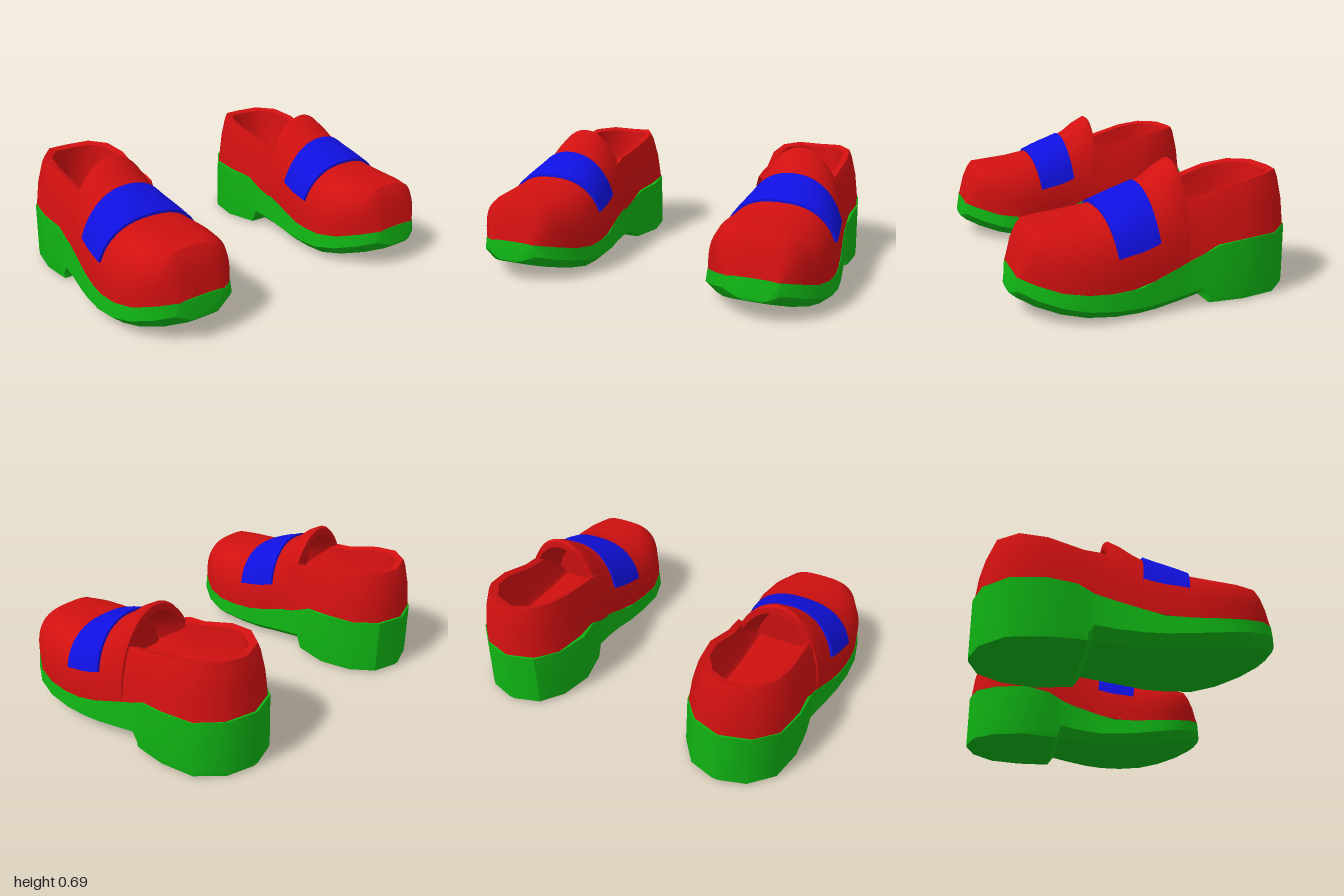
import * as THREE from 'three';
import { toCreasedNormals } from 'three/addons/utils/BufferGeometryUtils.js';

const lerp = THREE.MathUtils.lerp;
const clamp = THREE.MathUtils.clamp;

// Linear interpolation in a table whose first column is a falling z
function at(table, z) {
  const k = clamp(table.findIndex((r) => r[0] <= z), 1, table.length - 1);
  const a = table[k - 1], b = table[k];
  const t = clamp((z - a[0]) / (b[0] - a[0]), 0, 1);
  return a.map((v, i) => lerp(v, b[i], t));
}

// Sole outline: z, inner x, outer x, underside y, welt y
const SOLE = [
  [0.745, 0.61, 0.77, 0.115, 0.13], [0.72, 0.53, 0.83, 0.1, 0.215],
  [0.65, 0.45, 0.91, 0.075, 0.195], [0.54, 0.375, 0.975, 0.045, 0.165],
  [0.42, 0.345, 1.0, 0.02, 0.148], [0.28, 0.36, 1.0, 0.005, 0.14],
  [0.15, 0.38, 0.985, 0, 0.148], [0.05, 0.4, 0.97, 0.005, 0.18],
  [-0.08, 0.405, 0.95, 0.022, 0.225], [-0.18, 0.395, 0.94, 0.04, 0.26],
  [-0.21, 0.39, 0.94, 0.01, 0.275], [-0.26, 0.38, 0.945, 0.01, 0.3],
  [-0.4, 0.35, 0.95, 0.01, 0.318], [-0.58, 0.39, 0.915, 0.01, 0.322],
  [-0.7, 0.48, 0.8, 0.01, 0.325], [-0.745, 0.62, 0.66, 0.01, 0.325],
];

// Top line of the vamp and tongue: z, y
const VAMP = [
  [0.722, 0.22], [0.69, 0.35], [0.66, 0.41], [0.635, 0.44], [0.54, 0.447],
  [0.42, 0.46], [0.3, 0.483], [0.2, 0.53], [0.09, 0.572], [0.03, 0.61],
  [-0.03, 0.66], [-0.09, 0.695], [-0.105, 0.685],
];

// Heel quarters from outer side round the back: base x, z and rim x, z
const HEEL = [
  [0.94, -0.07, 0.865, -0.075], [0.932, -0.13, 0.86, -0.13], [0.928, -0.22, 0.86, -0.22],
  [0.938, -0.4, 0.87, -0.4], [0.905, -0.58, 0.85, -0.54], [0.8, -0.69, 0.77, -0.645],
  [0.64, -0.738, 0.64, -0.68], [0.49, -0.69, 0.52, -0.645], [0.4, -0.58, 0.45, -0.54],
  [0.375, -0.4, 0.43, -0.4], [0.4, -0.22, 0.45, -0.22], [0.405, -0.13, 0.45, -0.13],
  [0.41, -0.07, 0.445, -0.075],
];

// Height of the collar rim: z, y
const RIM = [[-0.07, 0.51], [-0.12, 0.532], [-0.2, 0.537], [-0.35, 0.58], [-0.5, 0.612], [-0.65, 0.615], [-0.68, 0.606]];

// Surface through rows of points; side -1 mirrors it in x
function loft(rows, side, closed, crease = 0.75) {
  const n = rows[0].length, pos = [], idx = [];
  rows.forEach((row) => row.forEach(([x, y, z]) => pos.push(x * side, y, z)));
  for (let r = 0; r < rows.length - 1; r++) {
    for (let c = 0; c < (closed ? n : n - 1); c++) {
      const d = (c + 1) % n;
      const a = r * n + c, b = r * n + d, e = a + n, f = b + n;
      if (side > 0) idx.push(a, b, e, b, f, e);
      else idx.push(a, e, b, b, e, f);
    }
  }
  const g = new THREE.BufferGeometry();
  g.setAttribute('position', new THREE.Float32BufferAttribute(pos, 3));
  g.setIndex(idx);
  return toCreasedNormals(g, crease);
}

// Point on the arched upper at z and angle a, pushed out by e
function archPoint(z, a, e = 0) {
  const [, xa, xb, , ys] = at(SOLE, z);
  const top = at(VAMP, z)[1] + e;
  const p = 1 - 0.46 * (z + 0.1);
  const c = Math.cos(a), s = Math.max(0, Math.sin(a));
  const w = (xb - xa) / 2 - 0.012 + e;
  return [(xa + xb) / 2 - w * Math.sign(c) * Math.abs(c) ** p, ys + (top - ys) * s ** p, z];
}

function soleGeometry(side) {
  const rows = SOLE.map(([z, xa, xb, yb, ys]) => {
    const heel = z < -0.2;
    const inset = Math.min(heel ? 0.003 : 0.06, (xb - xa) * 0.2);
    const ym = Math.min(yb + (heel ? 0.03 : 0.05), ys - 0.005);
    const lip = heel ? 0.004 : 0.01;
    return [[xa + inset, yb, z], [xa, ym, z], [xa + lip, ys, z],
      [xb - lip, ys, z], [xb, ym, z], [xb - inset, yb, z]];
  });
  // End caps
  const cap = (row) => row.map(() => [0, 1, 2].map((k) => row.reduce((s, p) => s + p[k], 0) / row.length));
  return loft([cap(rows[0]), ...rows, cap(rows[rows.length - 1])], side, true, 0.6);
}

function vampGeometry(side) {
  const angles = Array.from({ length: 25 }, (_, i) => (Math.PI * i) / 24);
  const rows = VAMP.map(([z]) => angles.map((a) => archPoint(z, a)));
  // Tongue lip, turned inward to line the throat
  const last = rows[rows.length - 1];
  const inner = (k, z) => last.map(([x, y]) => [0.67 + (x - 0.67) * k, 0.23 + (y - 0.23) * k, z]);
  rows.push(inner(0.92, -0.108), inner(0.86, -0.07), inner(0.7, 0.08), inner(0.05, 0.1));
  return loft(rows, side, false);
}

function quarterGeometry(side) {
  const floorY = 0.33;
  const wall = (t, h) => HEEL.map(([bx, bz, rx, rz]) => {
    const base = at(SOLE, bz)[4] - 0.005;
    return [lerp(bx, rx, t), lerp(base, at(RIM, rz)[1], h), lerp(bz, rz, t)];
  });
  // Lining, moved towards the middle of the opening
  const lining = (k, y) => HEEL.map(([, , rx, rz]) => [
    0.65 + (rx - 0.65) * k, y ?? at(RIM, rz)[1] - 0.012,
    rz > -0.1 ? rz + (y ? 0.15 : 0) : -0.33 + (rz + 0.33) * (rz < -0.33 ? k + 0.04 : 1),
  ]);
  const middle = HEEL.map(([, , , rz]) => [0.65, floorY, rz > -0.1 ? rz + 0.15 : Math.max(rz, -0.5)]);
  return loft([wall(0, 0), wall(0.3, 0.5), wall(0.75, 0.88), wall(1, 1),
    lining(0.84), lining(0.74, floorY + 0.03), lining(0.64, floorY), middle], side, false);
}

function strapGeometry(side) {
  // Rows from front edge to back edge: z and thickness
  const edges = [[0.3, -0.01], [0.298, 0.013], [0.24, 0.014], [0.19, 0.014], [0.14, 0.014], [0.084, 0.014], [0.08, -0.01]];
  const n = 24, low = 0.38;
  const rows = edges.map(([z, e]) => Array.from({ length: n + 1 }, (_, i) => {
    const a = low + ((Math.PI - 2 * low) * i) / n;
    return archPoint(z - 0.045 * (1 - Math.sin(a)), a, e);
  }));
  return loft(rows, side, false, 0.6);
}

export function createModel() {
  const red = new THREE.MeshStandardMaterial({ color: 0xd01010, side: THREE.DoubleSide });
  const green = new THREE.MeshStandardMaterial({ color: 0x10b414 });
  const blue = new THREE.MeshStandardMaterial({ color: 0x1010e0, side: THREE.DoubleSide });
  red.name = 'red leather';
  green.name = 'green sole';
  blue.name = 'blue strap';

  const model = new THREE.Group();
  model.name = 'pairOfShoes';
  for (const side of [1, -1]) {
    const shoe = new THREE.Group();
    shoe.name = side > 0 ? 'leftShoe' : 'rightShoe';
    const add = (name, geometry, material) => {
      const mesh = new THREE.Mesh(geometry, material);
      mesh.name = name;
      shoe.add(mesh);
    };
    add('soleAndHeel', soleGeometry(side), green);
    add('vampAndTongue', vampGeometry(side), red);
    add('heelQuarters', quarterGeometry(side), red);
    add('strap', strapGeometry(side), blue);
    model.add(shoe);
  }
  return model;
}
